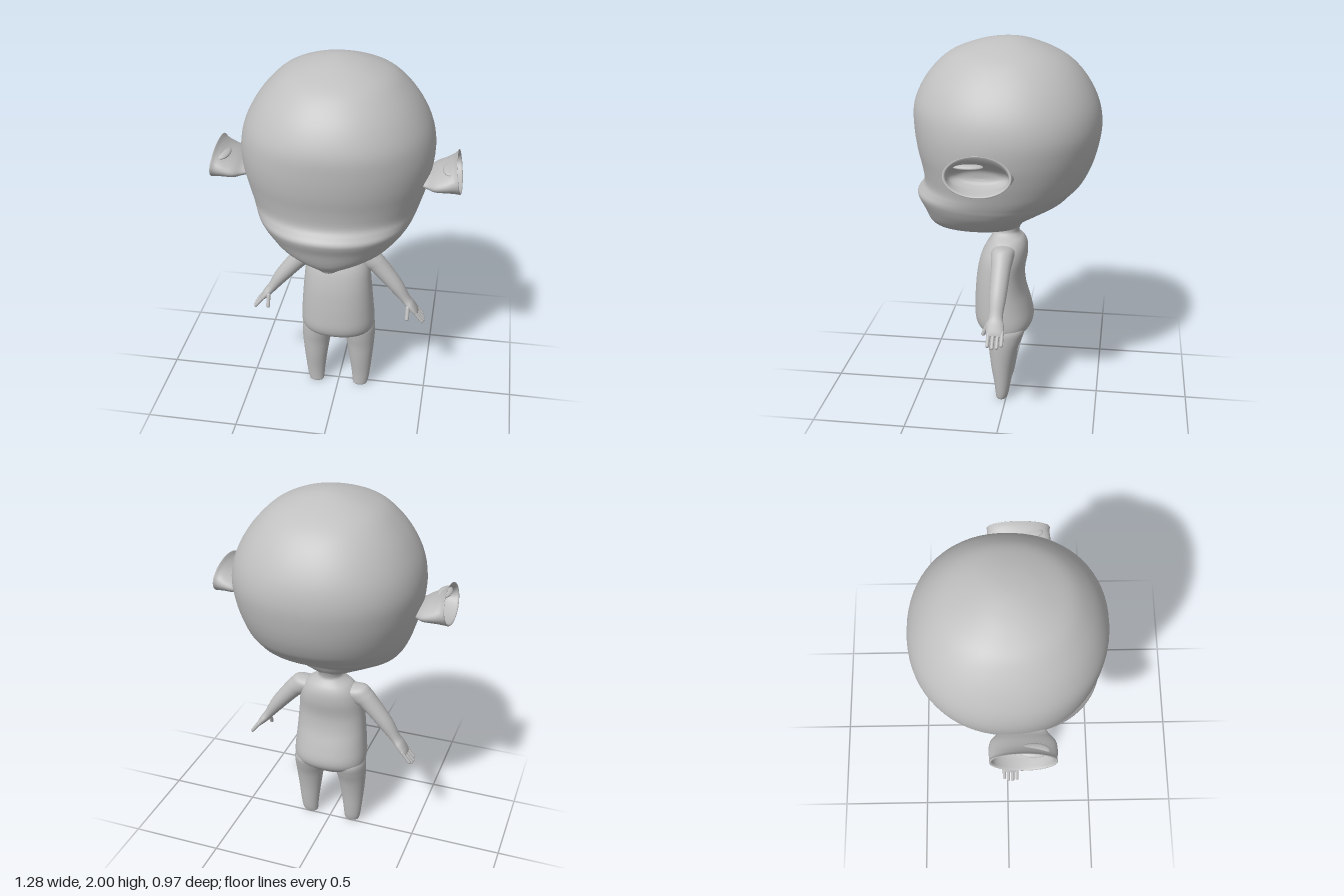
import * as THREE from 'three';

const skin = new THREE.MeshStandardMaterial({ color: 0xc0c0c0 });
skin.name = 'plain grey';

// Smoothly subdivide a list of parameter rows (Catmull-Rom on every column)
function smooth(rows, steps = 4) {
  const out = [];
  const last = rows.length - 1;
  for (let i = 0; i < last; i++) {
    const [p, a, b, q] = [-1, 0, 1, 2].map(k => rows[Math.min(last, Math.max(0, i + k))]);
    for (let s = 0; s < steps; s++) {
      const t = s / steps;
      out.push(a.map((_, k) => a[k] + 0.5 * t * (b[k] - p[k]
        + t * (2 * p[k] - 5 * a[k] + 4 * b[k] - q[k]
        + t * (3 * (a[k] - b[k]) + q[k] - p[k])))));
    }
  }
  out.push(rows[last]);
  return out;
}

// Skin over cross-sections; point(row, angle) gives [x, y, z]. side = -1 mirrors x.
function loft(name, rows, point, side = 1, n = 48) {
  const pos = [], index = [];
  const rings = smooth(rows).map(row => Array.from({ length: n }, (_, j) => {
    const [x, y, z] = point(row, j / n * Math.PI * 2);
    return [x * side, y, z];
  }));
  const tri = (a, b, c) => side > 0 ? index.push(a, b, c) : index.push(a, c, b);
  rings.forEach((ring, i) => {
    ring.forEach(p => pos.push(...p));
    if (i === 0) return;
    for (let j = 0; j < n; j++) {
      const k = (j + 1) % n, lo = (i - 1) * n, hi = i * n;
      tri(lo + j, lo + k, hi + k);
      tri(lo + j, hi + k, hi + j);
    }
  });
  // Flat end caps with their own vertices
  [rings[0], rings[rings.length - 1]].forEach((ring, end) => {
    const base = pos.length / 3;
    ring.forEach(p => pos.push(...p));
    pos.push(...[0, 1, 2].map(a => ring.reduce((s, p) => s + p[a], 0) / n));
    for (let j = 0; j < n; j++) {
      const k = (j + 1) % n;
      if (end) tri(base + j, base + k, base + n);
      else tri(base + k, base + j, base + n);
    }
  });
  const geo = new THREE.BufferGeometry();
  geo.setAttribute('position', new THREE.Float32BufferAttribute(pos, 3));
  geo.setIndex(index);
  geo.computeVertexNormals();
  const mesh = new THREE.Mesh(geo, skin);
  mesh.name = name;
  return mesh;
}

// Upright section: [y, half width, front z, widest z, back z]
const upright = power => ([y, w, zf, zm, zb], a) => {
  const s = Math.sin(a), c = Math.cos(a);
  const r = v => Math.sign(v) * Math.abs(v) ** power;
  return [w * r(s), y, zm + (c > 0 ? zf - zm : zm - zb) * r(c)];
};

// Leg section: [y, inner x, outer x, front z, back z]
const legSection = ([y, x0, x1, zf, zb], a) =>
  [(x0 + x1) / 2 + (x1 - x0) / 2 * Math.sin(a), y, (zf + zb) / 2 + (zf - zb) / 2 * Math.cos(a)];

// Arm section across its slope: [x, y, z, thickness, depth]
const armSection = ([x, y, z, r, d], a) =>
  [x + 0.76 * r * Math.cos(a), y + 0.65 * r * Math.cos(a), z + d * Math.sin(a)];

// Ear section: [x, y, half height, half depth, backward lean of the top edge]
const earSection = ([x, y, h, d, lean], a) =>
  [x - lean * Math.cos(a), y + h * Math.cos(a), 0.07 + d * Math.sin(a)];

// Rounded finger between two points
function finger(name, from, to, r, side) {
  const a = new THREE.Vector3(from[0] * side, from[1], from[2]);
  const b = new THREE.Vector3(to[0] * side, to[1], to[2]);
  const dir = b.clone().sub(a);
  const mesh = new THREE.Mesh(new THREE.CapsuleGeometry(r, dir.length(), 5, 12), skin);
  mesh.position.copy(a).add(b).multiplyScalar(0.5);
  mesh.quaternion.setFromUnitVectors(new THREE.Vector3(0, 1, 0), dir.normalize());
  mesh.name = name;
  return mesh;
}

export function createModel() {
  const model = new THREE.Group();
  model.name = 'bigHeadedFigure';

  // Head with jutting muzzle and rounded skull
  model.add(loft('head', [
    [0.962, 0.01, 0.2, 0.19, 0.12],
    [0.966, 0.06, 0.355, 0.15, 0],
    [0.985, 0.12, 0.38, 0.15, -0.05],
    [1.02, 0.215, 0.41, 0.14, -0.08],
    [1.06, 0.295, 0.43, 0.12, -0.11],
    [1.12, 0.36, 0.452, 0.08, -0.21],
    [1.17, 0.395, 0.476, 0.06, -0.3],
    [1.2, 0.41, 0.482, 0.05, -0.33],
    [1.23, 0.423, 0.462, 0.04, -0.362],
    [1.27, 0.437, 0.441, 0.03, -0.395],
    [1.35, 0.462, 0.45, 0.02, -0.435],
    [1.45, 0.485, 0.472, 0.01, -0.465],
    [1.56, 0.492, 0.485, 0, -0.48],
    [1.67, 0.468, 0.483, 0, -0.463],
    [1.78, 0.41, 0.437, 0, -0.41],
    [1.87, 0.335, 0.365, 0, -0.335],
    [1.93, 0.26, 0.285, 0, -0.245],
    [1.975, 0.15, 0.165, 0, -0.135],
    [1.995, 0.06, 0.07, 0, -0.06],
    [2, 0.003, 0.003, 0, -0.003],
  ], upright(0.93), 1, 72));

  // Torso and neck
  model.add(loft('torso', [
    [0.355, 0.05, 0.05, 0, -0.03],
    [0.36, 0.1, 0.08, 0, -0.06],
    [0.385, 0.165, 0.12, 0, -0.09],
    [0.42, 0.198, 0.165, 0.01, -0.125],
    [0.47, 0.205, 0.184, 0.02, -0.136],
    [0.55, 0.2, 0.185, 0.03, -0.118],
    [0.64, 0.193, 0.181, 0.035, -0.092],
    [0.73, 0.185, 0.172, 0.035, -0.085],
    [0.82, 0.175, 0.152, 0.03, -0.1],
    [0.88, 0.155, 0.125, 0.02, -0.1],
    [0.92, 0.125, 0.1, 0.015, -0.085],
    [0.945, 0.085, 0.09, 0.015, -0.062],
    [0.97, 0.065, 0.088, 0.015, -0.055],
    [1.03, 0.075, 0.09, 0, -0.08],
    [1.08, 0.1, 0.09, 0, -0.125],
  ], upright(0.9)));

  for (const side of [1, -1]) {
    const label = side > 0 ? 'left' : 'right';

    // Tapered leg with a flat sole
    model.add(loft(label + 'Leg', [
      [0, 0.092, 0.162, 0.052, 0],
      [0.008, 0.086, 0.17, 0.057, -0.006],
      [0.04, 0.083, 0.178, 0.06, -0.015],
      [0.1, 0.077, 0.186, 0.067, -0.024],
      [0.2, 0.064, 0.196, 0.083, -0.038],
      [0.3, 0.049, 0.205, 0.095, -0.06],
      [0.37, 0.035, 0.208, 0.107, -0.085],
      [0.43, 0.03, 0.203, 0.11, -0.1],
      [0.48, 0.05, 0.17, 0.08, -0.07],
    ], legSection, side));

    // Arm running down into the palm
    model.add(loft(label + 'Arm', [
      [0.08, 0.88, 0.015, 0.055, 0.06],
      [0.145, 0.875, 0.015, 0.066, 0.062],
      [0.185, 0.85, 0.015, 0.06, 0.058],
      [0.222, 0.82, 0.015, 0.051, 0.052],
      [0.318, 0.705, 0.018, 0.041, 0.045],
      [0.375, 0.622, 0.02, 0.027, 0.036],
      [0.402, 0.588, 0.02, 0.024, 0.045],
      [0.43, 0.553, 0.018, 0.016, 0.046],
      [0.442, 0.538, 0.016, 0.009, 0.04],
    ], armSection, side, 32));

    // Four fingers and a thumb
    [0.052, 0.027, 0.003, -0.02].forEach((z, i) => {
      const reach = [0.9, 1, 0.97, 0.82][i];
      model.add(finger(`${label}Finger${i + 1}`, [0.425, 0.56, z],
        [0.425 + 0.053 * reach, 0.56 - 0.068 * reach, z], 0.0095, side));
    });
    model.add(finger(label + 'Thumb', [0.392, 0.585, 0.06], [0.392, 0.527, 0.084], 0.011, side));

    // Flared ear: outer shell, rim, then the hollow inside
    model.add(loft(label + 'Ear', [
      [0.43, 1.41, 0.026, 0.1, 0],
      [0.47, 1.41, 0.032, 0.125, 0],
      [0.51, 1.417, 0.048, 0.157, 0.002],
      [0.565, 1.43, 0.065, 0.165, 0.006],
      [0.603, 1.44, 0.084, 0.161, 0.012],
      [0.622, 1.449, 0.097, 0.163, 0.016],
      [0.62, 1.448, 0.088, 0.151, 0.016],
      [0.595, 1.437, 0.071, 0.147, 0.01],
      [0.56, 1.428, 0.055, 0.14, 0.005],
      [0.53, 1.42, 0.032, 0.1, 0.002],
      [0.522, 1.416, 0.005, 0.02, 0],
    ], earSection, side, 40));

    // Folded ridge at the top of the ear
    const fold = new THREE.Mesh(new THREE.SphereGeometry(1, 24, 16), skin);
    fold.name = label + 'EarFold';
    fold.scale.set(0.036, 0.015, 0.075);
    fold.position.set(0.576 * side, 1.485, 0.12);
    model.add(fold);
  }
  return model;
}
